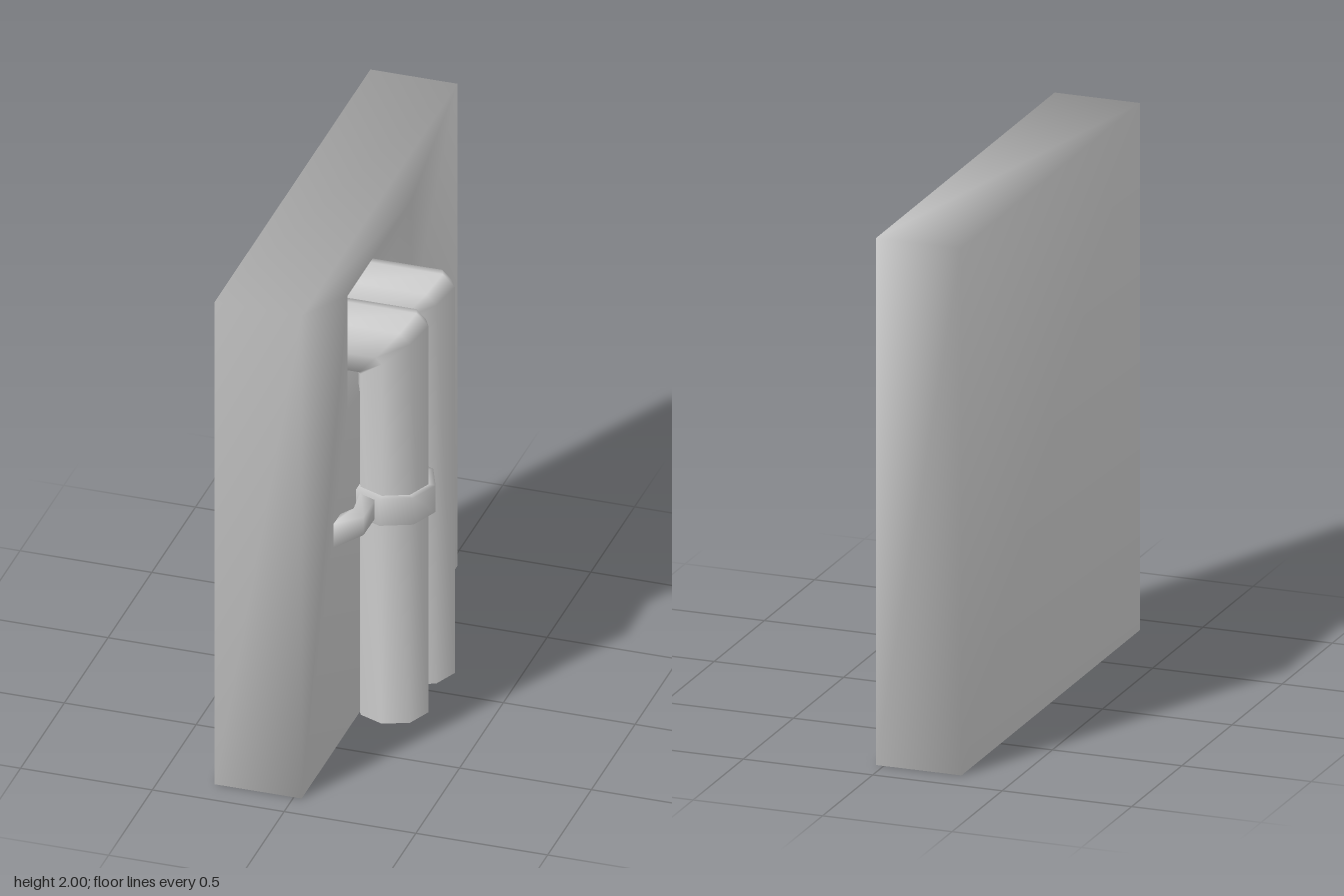
import * as THREE from 'three';

const material = new THREE.MeshStandardMaterial({ color: 0xcccccc, side: THREE.DoubleSide });

// Smooth skin through equal-sized rings of [x, y, z] points, with optional convex end caps.
function loft(name, rings, { startCap = false, endCap = false } = {}) {
  const n = rings[0].length, last = (rings.length - 1) * n, index = [];
  for (let k = 0; k < rings.length - 1; k++) {
    for (let i = 0; i < n; i++) {
      const a = k * n + i, b = k * n + (i + 1) % n;
      index.push(a, a + n, b + n, a, b + n, b);
    }
  }
  for (let i = 1; i < n - 1; i++) {
    if (startCap) index.push(0, i, i + 1);
    if (endCap) index.push(last, last + i + 1, last + i);
  }
  const geometry = new THREE.BufferGeometry();
  geometry.setAttribute('position', new THREE.Float32BufferAttribute(rings.flat(2), 3));
  geometry.setIndex(index);
  geometry.computeVertexNormals();
  const mesh = new THREE.Mesh(geometry, material);
  mesh.name = name;
  return mesh;
}

// Eight-sided ring spanned between an inner and an outer [x, y] point, centred on z.
function octagon(inner, outer, z, radius) {
  return Array.from({ length: 8 }, (_, i) => {
    const a = i * Math.PI / 4, t = (1 + Math.cos(a)) / 2;
    return [
      inner[0] + (outer[0] - inner[0]) * t,
      inner[1] + (outer[1] - inner[1]) * t,
      z + radius * Math.sin(a),
    ];
  });
}

// Upright rectangle at a given x.
const wallRing = (x, halfZ, bottom, top) => [
  [x, top, halfZ], [x, top, -halfZ], [x, bottom, -halfZ], [x, bottom, halfZ],
];

// Vertical pipe that bends through a two-step elbow into the wall recess.
function pipe(name, z) {
  const r = 0.133, inside = [0, 1.38];
  return loft(name, [
    octagon([0, 0], [2 * r, 0], z, r),
    octagon(inside, [2 * r, 1.6], z, r),
    octagon(inside, [0.22, 1.645], z, r),
    octagon([-0.12, 1.38], [-0.12, 1.645], z, r),
  ]);
}

// Collar around a pipe.
function collar(z, bottom, top) {
  const x = 0.133;
  const ring = (r, y) => octagon([x - r, y], [x + r, y], z, r);
  return loft('pipeCollar', [ring(0.128, bottom), ring(0.16, bottom), ring(0.16, top), ring(0.128, top)]);
}

// Four-cornered bracket section from an outer and an inner [x, z] point.
const bracketRing = ([ox, oz], [ix, iz], bottom, top) => [
  [ox, top, oz], [ox, bottom, oz], [ix, bottom, iz], [ix, top, iz],
];

export function createModel() {
  const group = new THREE.Group();
  group.name = 'wallWithPipes';

  // Slab with a rectangular recess in its +x face
  group.add(loft('wall', [
    wallRing(-0.3, 0.89, 0, 2),
    wallRing(0.03, 0.89, 0, 2),
    wallRing(0.03, 0.365, 1.32, 1.8),
    wallRing(-0.12, 0.365, 1.32, 1.8),
  ], { startCap: true, endCap: true }));

  // Pipes side by side, one held by a collar
  group.add(pipe('frontPipe', 0.15), pipe('backPipe', -0.15), collar(0.15, 0.835, 0.945));

  // Arm from the collar, bent back to the wall and flared at the end
  group.add(loft('bracketArm', [
    bracketRing([0.112, 0.26], [0.045, 0.26], 0.855, 0.935),
    bracketRing([0.112, 0.43], [0.058, 0.38], 0.858, 0.932),
    bracketRing([0.025, 0.53], [0.025, 0.46], 0.84, 0.942),
  ], { startCap: true, endCap: true }));

  return group;
}
